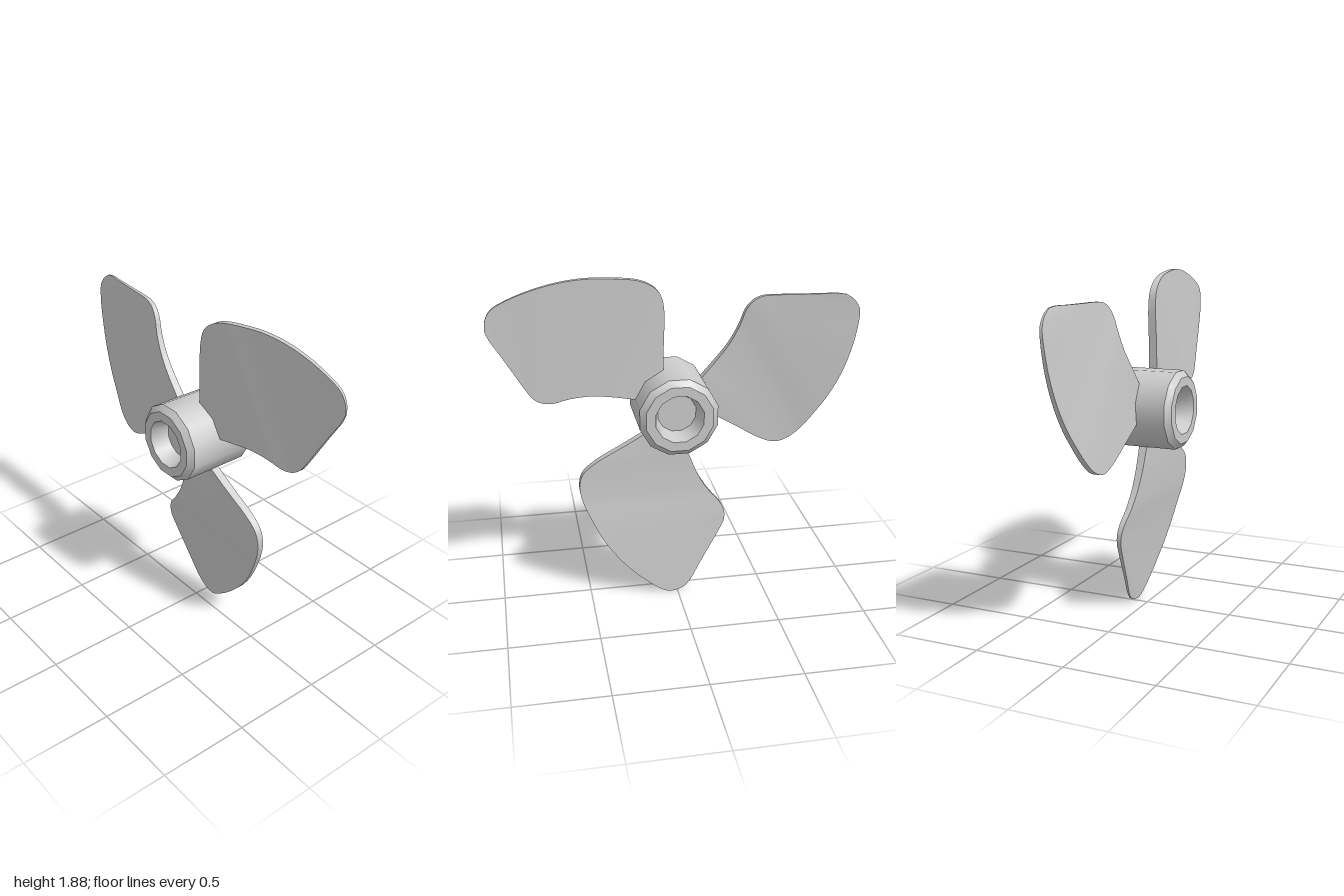
import * as THREE from 'three';
import { toCreasedNormals } from 'three/addons/utils/BufferGeometryUtils.js';

const CENTRE = [0.01, 1.135, 0];
const material = new THREE.MeshStandardMaterial({ color: 0xcccccc });

const curve = (pts) => new THREE.CatmullRomCurve3(pts.map((p) => new THREE.Vector3(...p)));

// Two blade edges from root to tip, relative to the hub centre
const leading = curve([
  [0.055, 0.1, 0.004], [0.053, 0.35, 0.004], [0.05, 0.55, 0], [0.07, 0.635, -0.002],
  [0.12, 0.685, -0.006], [0.2, 0.718, -0.014], [0.34, 0.737, -0.034], [0.46, 0.745, -0.048],
  [0.6, 0.735, -0.062], [0.74, 0.705, -0.073], [0.87, 0.66, -0.08], [0.955, 0.613, -0.085],
  [0.985, 0.558, -0.087], [0.99, 0.505, -0.087],
]);
const trailing = curve([
  [0.1, 0.035, -0.004], [0.21, 0.055, -0.005], [0.3, 0.072, -0.006], [0.38, 0.085, -0.009],
  [0.46, 0.093, -0.014], [0.57, 0.087, -0.022], [0.66, 0.071, -0.032], [0.72, 0.08, -0.04],
  [0.765, 0.11, -0.045], [0.8, 0.162, -0.051], [0.865, 0.275, -0.063], [0.92, 0.37, -0.073],
  [0.97, 0.455, -0.083], [0.99, 0.505, -0.087],
]);

// Point on the blade: u across the edges, v from root to tip, side +1 front / -1 back
function bladePoint(u, v, side) {
  const p = leading.getPoint(v).lerp(trailing.getPoint(v), u);
  p.z += side * THREE.MathUtils.lerp(0.025, 0.004, v);
  return p;
}

// Grid surface bent by a rule; u runs left to right and v bottom to top
function surface(nu, nv, rule) {
  const geometry = new THREE.PlaneGeometry(1, 1, nu, nv);
  const pos = geometry.attributes.position;
  for (let i = 0; i < pos.count; i++) {
    const p = rule(pos.getX(i) + 0.5, pos.getY(i) + 0.5);
    pos.setXYZ(i, p.x, p.y, p.z);
  }
  geometry.computeVertexNormals();
  return geometry;
}

// Front, back and the two thin rims, kept separate so their edges stay sharp
const bladeParts = {
  bladeFront: surface(10, 52, (u, v) => bladePoint(u, v, 1)),
  bladeBack: surface(10, 52, (u, v) => bladePoint(1 - u, v, -1)),
  leadingRim: surface(1, 52, (u, v) => bladePoint(0, v, 2 * u - 1)),
  trailingRim: surface(1, 52, (u, v) => bladePoint(1, v, 1 - 2 * u)),
};

function createBlade() {
  const blade = new THREE.Group();
  blade.name = 'blade';
  for (const [name, geometry] of Object.entries(bladeParts)) {
    const mesh = new THREE.Mesh(geometry, material);
    mesh.name = name;
    blade.add(mesh);
  }
  return blade;
}

// Twelve-sided hub with chamfered ends and a tapered recess at each end
function createHub() {
  const half = [[0.2205, 0.19], [0.188, 0.22], [0.135, 0.22], [0.108, 0.12], [0, 0.12]];
  const profile = [
    ...half.map(([r, y]) => new THREE.Vector2(r, -y)).reverse(),
    ...half.map(([r, y]) => new THREE.Vector2(r, y)),
  ];
  const lathe = new THREE.LatheGeometry(profile, 12, Math.PI / 12);
  lathe.rotateX(Math.PI / 2);
  const hub = new THREE.Mesh(toCreasedNormals(lathe, 0.6), material);
  hub.name = 'hub';
  return hub;
}

export function createModel() {
  const propeller = new THREE.Group();
  propeller.name = 'propeller';
  propeller.position.set(...CENTRE);
  propeller.add(createHub());
  for (let i = 0; i < 3; i++) {
    const blade = createBlade();
    blade.rotation.z = (i * Math.PI * 2) / 3;
    propeller.add(blade);
  }
  const model = new THREE.Group();
  model.add(propeller);
  return model;
}
